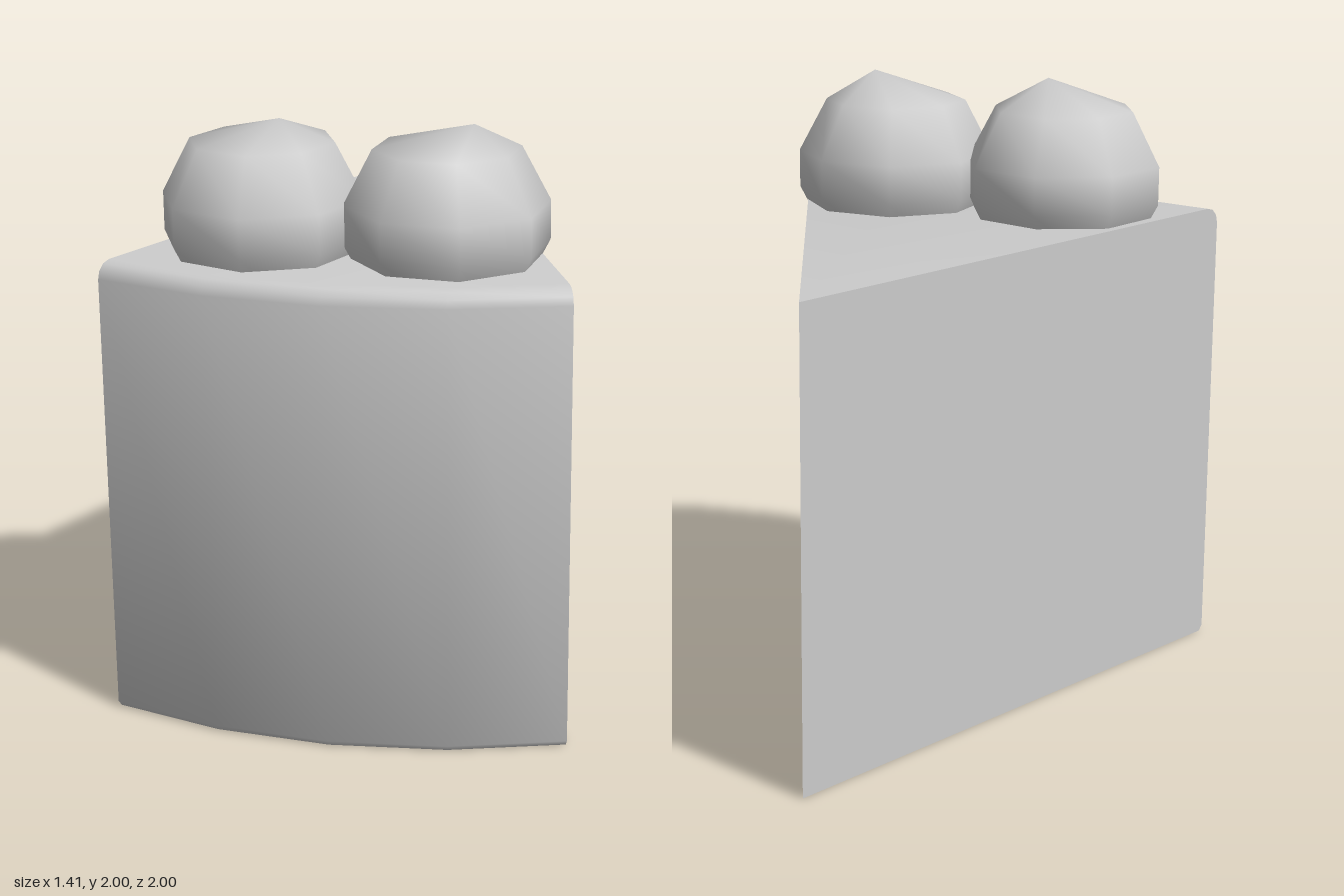
import * as THREE from 'three';
import { mergeVertices, toCreasedNormals } from 'three/addons/utils/BufferGeometryUtils.js';

const material = new THREE.MeshStandardMaterial({ color: 0xcccccc });
const RADIUS = 2, HEIGHT = 1.555, ANGLE = Math.PI / 4;

function addMesh(parent, name, geometry) {
  const mesh = new THREE.Mesh(geometry, material);
  mesh.name = name;
  parent.add(mesh);
  return mesh;
}

// Half section of the cake: small bevel below, larger rounded rim above
function sliceProfile() {
  const points = [[0, 0], [RADIUS - 0.015, 0], [RADIUS, 0.02]];
  const bevel = 0.055;
  for (let i = 0; i <= 3; i++) {
    const a = (i / 3) * Math.PI / 2;
    points.push([RADIUS - bevel + bevel * Math.cos(a), HEIGHT - bevel + bevel * Math.sin(a)]);
  }
  points.push([0, HEIGHT]);
  return points.map(([x, y]) => new THREE.Vector2(x, y));
}

// Flat cut face; sign mirrors the section so that it faces outward
function cutFace(profile, sign, turn) {
  const shape = new THREE.Shape(profile.map(p => new THREE.Vector2(p.x * sign, p.y)));
  return new THREE.ShapeGeometry(shape).rotateY(turn);
}

// Eight-sided ball with its top point pushed off centre
function ballGeometry() {
  const profile = [[0, -0.335], [0.24, -0.245], [0.335, -0.065], [0.335, 0.065], [0.24, 0.245], [0, 0.335]];
  const geometry = new THREE.LatheGeometry(profile.map(([x, y]) => new THREE.Vector2(x, y)), 8);
  const pos = geometry.attributes.position;
  for (let i = 0; i < pos.count; i++) {
    if (pos.getY(i) > 0.3) pos.setXYZ(i, 0, pos.getY(i), 0.11);
  }
  geometry.deleteAttribute('uv');
  geometry.deleteAttribute('normal');
  const merged = mergeVertices(geometry, 1e-4);
  merged.computeVertexNormals();
  return merged;
}

export function createModel() {
  const model = new THREE.Group();
  model.name = 'cakeSlice';

  // Wedge of cake with its point at the back
  const slice = new THREE.Group();
  slice.name = 'slice';
  slice.position.set(-0.707, 0, -1);
  model.add(slice);
  const profile = sliceProfile();
  const body = new THREE.LatheGeometry(profile, 4, 0, ANGLE);
  addMesh(slice, 'sliceBody', toCreasedNormals(body, 0.7));
  addMesh(slice, 'rightCut', cutFace(profile, 1, -Math.PI / 2));
  addMesh(slice, 'leftCut', cutFace(profile, -1, Math.PI - ANGLE));

  // Two balls sunk into the top
  const ball = ballGeometry();
  [['rightBall', -0.385, 0.55, 1.21], ['leftBall', 0.17, 0.31, 1.49]].forEach(([name, x, z, turn]) => {
    const mesh = addMesh(model, name, ball);
    mesh.position.set(x, 1.665, z);
    mesh.rotation.y = turn;
  });
  return model;
}
